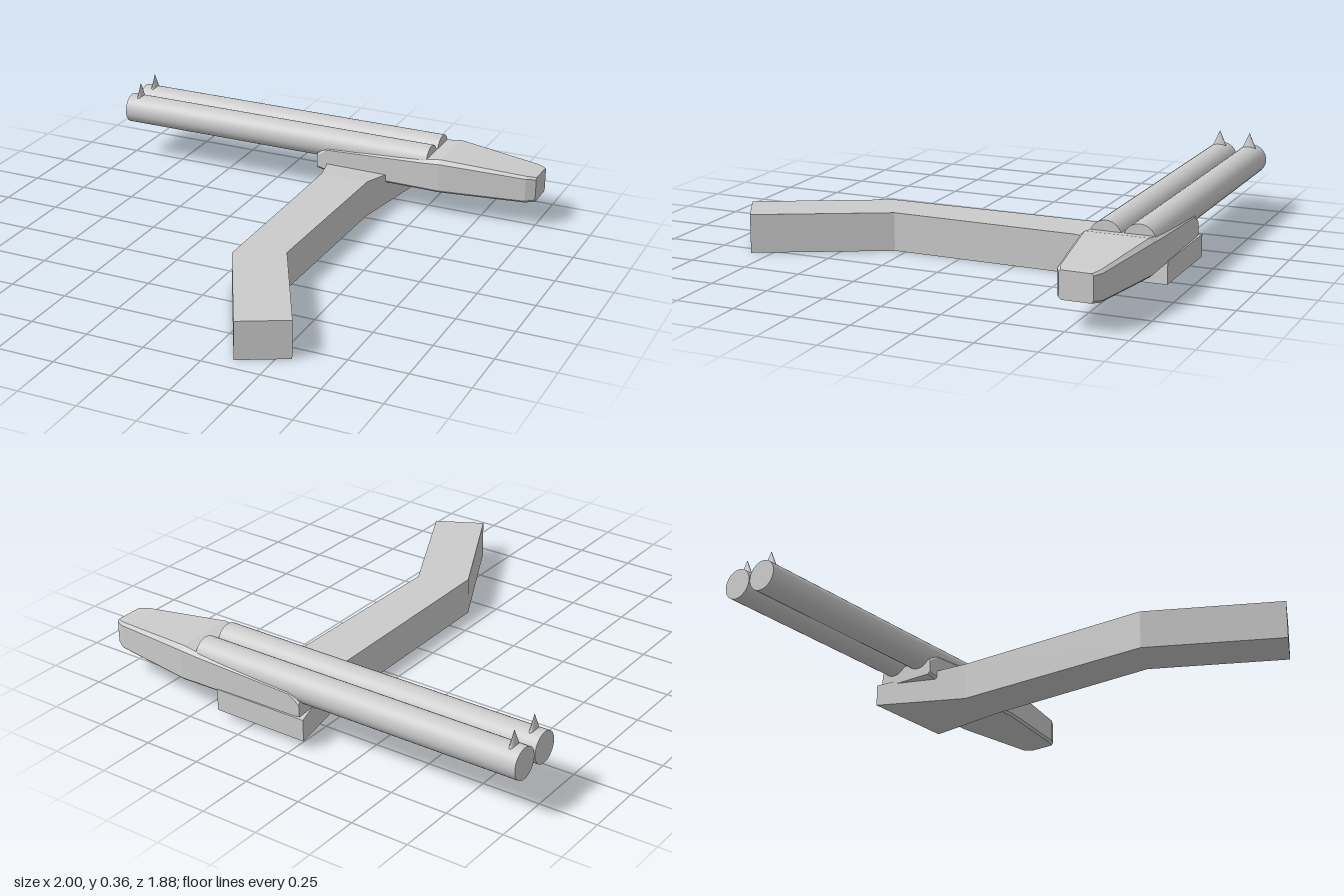
import * as THREE from 'three';

const flat = new THREE.MeshStandardMaterial({ color: 0xcccccc, flatShading: true });
const smooth = new THREE.MeshStandardMaterial({ color: 0xcccccc });

// Joins rings of corners (counterclockwise seen from the far end) into a capped solid
function loft(rings) {
  const pos = [];
  const tri = (a, b, c) => pos.push(...a, ...b, ...c);
  const n = rings[0].length;
  for (let s = 0; s < rings.length - 1; s++) {
    for (let i = 0; i < n; i++) {
      const j = (i + 1) % n;
      const a = rings[s][i], b = rings[s][j], c = rings[s + 1][j], d = rings[s + 1][i];
      tri(a, b, c);
      tri(a, c, d);
    }
  }
  const first = rings[0], last = rings[rings.length - 1];
  for (let i = 1; i < n - 1; i++) {
    tri(first[0], first[i + 1], first[i]);
    tri(last[0], last[i], last[i + 1]);
  }
  const geo = new THREE.BufferGeometry();
  geo.setAttribute('position', new THREE.Float32BufferAttribute(pos, 3));
  geo.computeVertexNormals();
  return geo;
}

export function createModel() {
  const model = new THREE.Group();
  const add = (name, geo, mat) => {
    const mesh = new THREE.Mesh(geo, mat);
    mesh.name = name;
    model.add(mesh);
    return mesh;
  };
  const midZ = -0.793;

  // Twin barrels, each with a pointed sight near the muzzle
  for (const side of [-1, 1]) {
    const z = midZ + side * 0.069;
    const barrel = add('barrel', new THREE.CylinderGeometry(0.067, 0.067, 1.514, 32), smooth);
    barrel.rotation.z = Math.PI / 2;
    barrel.position.set(-0.243, 0.233, z);

    const sight = add('sight', new THREE.ConeGeometry(0.038, 0.085, 16), smooth);
    sight.scale.x = 0.42;
    sight.position.set(-0.953, 0.319, z);
  }

  // Receiver: bevelled sections from the barrel side to the blunt end
  // [x, bottom, shoulder, top, half width, half width of the top]
  const receiver = [
    [-0.01, 0.125, 0.185, 0.195, 0.138, 0.132],
    [0.04, 0.115, 0.22, 0.232, 0.139, 0.128],
    [0.5, 0.115, 0.243, 0.255, 0.146, 0.13],
    [0.58, 0.115, 0.25, 0.267, 0.148, 0.13],
    [0.96, 0.115, 0.228, 0.238, 0.09, 0.078],
    [1.0, 0.12, 0.225, 0.233, 0.068, 0.06],
  ].map(([x, b, s, t, w, tw]) => [
    [x, t, midZ + tw], [x, s, midZ + w], [x, b + 0.01, midZ + w], [x, b, midZ + w - 0.01],
    [x, b, midZ - w + 0.01], [x, b + 0.01, midZ - w], [x, s, midZ - w], [x, t, midZ - tw],
  ]);
  add('receiver', loft(receiver), flat);

  // Bent handle, flaring and thinning where it passes under the receiver
  // [x left edge, z left edge, x right edge, z right edge, bottom, top]
  const handle = [
    [-0.035, -0.94, 0.4, -0.94, 0.035, 0.13],
    [0.075, -0.52, 0.295, -0.52, 0, 0.165],
    [0.085, 0.4, 0.285, 0.3, 0, 0.165],
    [0.36, 0.94, 0.557, 0.835, 0, 0.165],
  ].map(([xl, zl, xr, zr, b, t]) => [[xr, b, zr], [xr, t, zr], [xl, t, zl], [xl, b, zl]]);
  add('handle', loft(handle), flat);

  return model;
}
